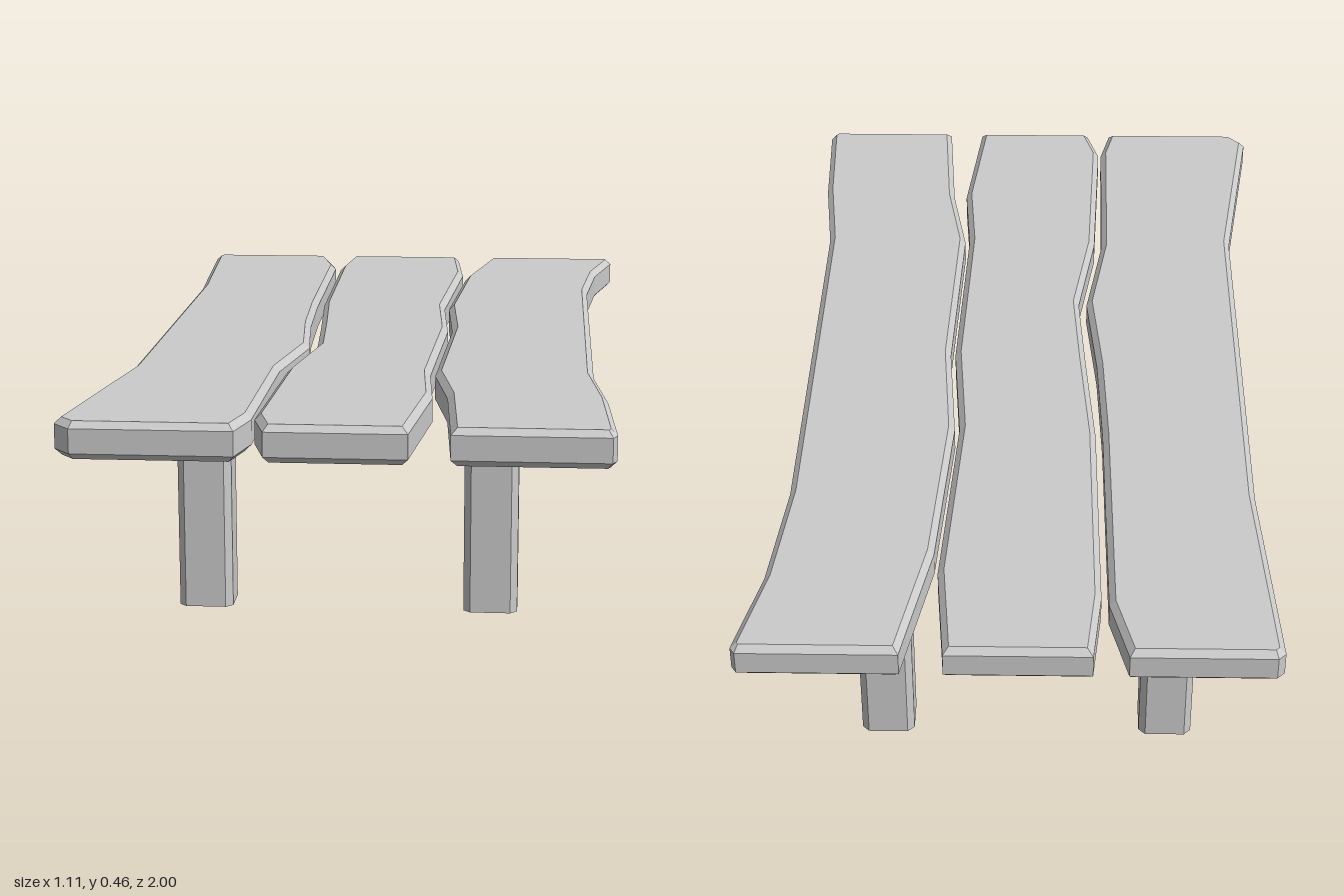
import * as THREE from 'three';

const material = new THREE.MeshStandardMaterial({ color: 0xcccccc, flatShading: true });
const openMaterial = new THREE.MeshStandardMaterial({ color: 0xcccccc, flatShading: true, side: THREE.DoubleSide });

const BOTTOM = 0.385, TOP = 0.46, BEVEL = 0.013;

// Plank outlines as [x, z]: left edge back to front, then right edge front to back
const planks = {
  rightPlank: [
    [-0.505, -1], [-0.52, -0.985], [-0.49, -0.51], [-0.49, 0.475], [-0.555, 0.96], [-0.52, 1],
    [-0.205, 1], [-0.183, 0.9], [-0.18, 0.46], [-0.143, 0.21], [-0.165, -0.04], [-0.175, -0.3], [-0.182, -0.85], [-0.22, -1],
  ],
  middlePlank: [
    [-0.15, -1], [-0.167, -0.83], [-0.16, -0.3], [-0.14, -0.03], [-0.125, 0.21], [-0.163, 0.47], [-0.177, 0.9], [-0.15, 1],
    [0.125, 1], [0.155, 0.69], [0.14, 0.48], [0.155, 0], [0.135, -0.28], [0.16, -0.76], [0.14, -1],
  ],
  leftPlank: [
    [0.225, -1], [0.17, -0.7], [0.145, -0.28], [0.165, 0], [0.15, 0.48], [0.185, 0.69], [0.205, 1],
    [0.508, 1], [0.517, 0.98], [0.505, 0.71], [0.48, 0.48], [0.48, -0.51], [0.505, -0.78], [0.55, -0.985], [0.54, -1],
  ],
};

// Slab with chamfered rims
function makePlank(outline) {
  const shape = new THREE.Shape(outline.map(([x, z]) => new THREE.Vector2(x, -z)));
  const geometry = new THREE.ExtrudeGeometry(shape, {
    depth: TOP - BOTTOM - 2 * BEVEL,
    bevelThickness: BEVEL, bevelSize: BEVEL, bevelOffset: -BEVEL, bevelSegments: 1,
  });
  geometry.rotateX(-Math.PI / 2).translate(0, BOTTOM + BEVEL, 0);
  return new THREE.Mesh(geometry, material);
}

// Hollow post with chamfered corners, open at the foot
function makeLegGeometry(width, depth, height, cut) {
  const w = width / 2, d = depth / 2;
  const ring = [
    [w, d - cut], [w - cut, d], [cut - w, d], [-w, d - cut],
    [-w, cut - d], [cut - w, -d], [w - cut, -d], [w, cut - d],
  ];
  const positions = [], index = [];
  ring.forEach(([x, z], i) => {
    positions.push(x, 0, z, x, height, z);
    const a = 2 * i, b = 2 * ((i + 1) % ring.length);
    index.push(a, a + 1, b, b, a + 1, b + 1);
  });
  const geometry = new THREE.BufferGeometry();
  geometry.setAttribute('position', new THREE.Float32BufferAttribute(positions, 3));
  geometry.setIndex(index);
  const flat = geometry.toNonIndexed();
  flat.computeVertexNormals();
  return flat;
}

export function createModel() {
  const table = new THREE.Group();
  table.name = 'plankTable';

  // Three uneven boards
  for (const [name, outline] of Object.entries(planks)) {
    const plank = makePlank(outline);
    plank.name = name;
    table.add(plank);
  }

  // Four posts
  const legGeometry = makeLegGeometry(0.11, 0.096, BOTTOM + 0.005, 0.014);
  for (const [side, x] of [['Right', -0.31], ['Left', 0.275]]) {
    for (const [end, z] of [['front', 0.643], ['back', -0.702]]) {
      const leg = new THREE.Mesh(legGeometry, openMaterial);
      leg.name = `${end}${side}Leg`;
      leg.position.set(x, 0, z);
      table.add(leg);
    }
  }
  return table;
}
